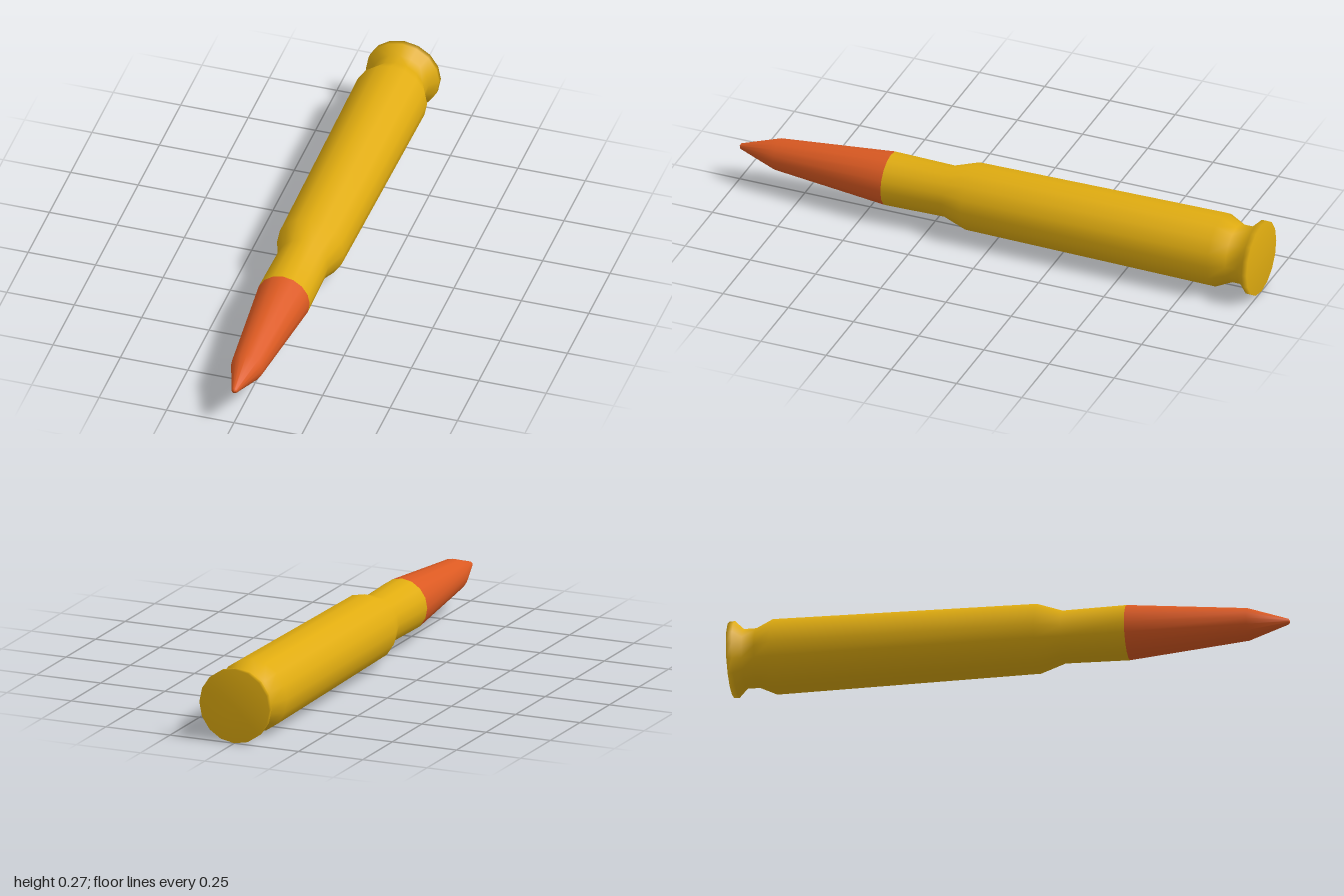
import * as THREE from 'three';

const SIDES = 16;
const AXIS_Y = 0.136;

// Turned part along z; profile is a list of [radius, z] from back to front
function turned(name, color, profile) {
  const geometry = new THREE.LatheGeometry(profile.map(([r, z]) => new THREE.Vector2(r, z)), SIDES);
  geometry.rotateX(Math.PI / 2);
  const mesh = new THREE.Mesh(geometry, new THREE.MeshStandardMaterial({ color }));
  mesh.name = name;
  mesh.position.y = AXIS_Y;
  return mesh;
}

export function createModel() {
  const group = new THREE.Group();
  group.name = 'cartridge';

  // Brass case: base, rim, extractor groove, tapered body, shoulder, neck
  group.add(turned('case', 0xe0ac10, [
    [0, -1], [0.136, -1], [0.136, -0.98], [0.106, -0.95], [0.106, -0.905],
    [0.134, -0.845], [0.124, 0.1], [0.094, 0.19], [0.098, 0.42],
  ]));

  // Copper nose: long taper, steeper point, small blunt tip
  group.add(turned('noseTip', 0xdc5a22, [
    [0.098, 0.42], [0.058, 0.85], [0.01, 0.995], [0, 1],
  ]));

  return group;
}
